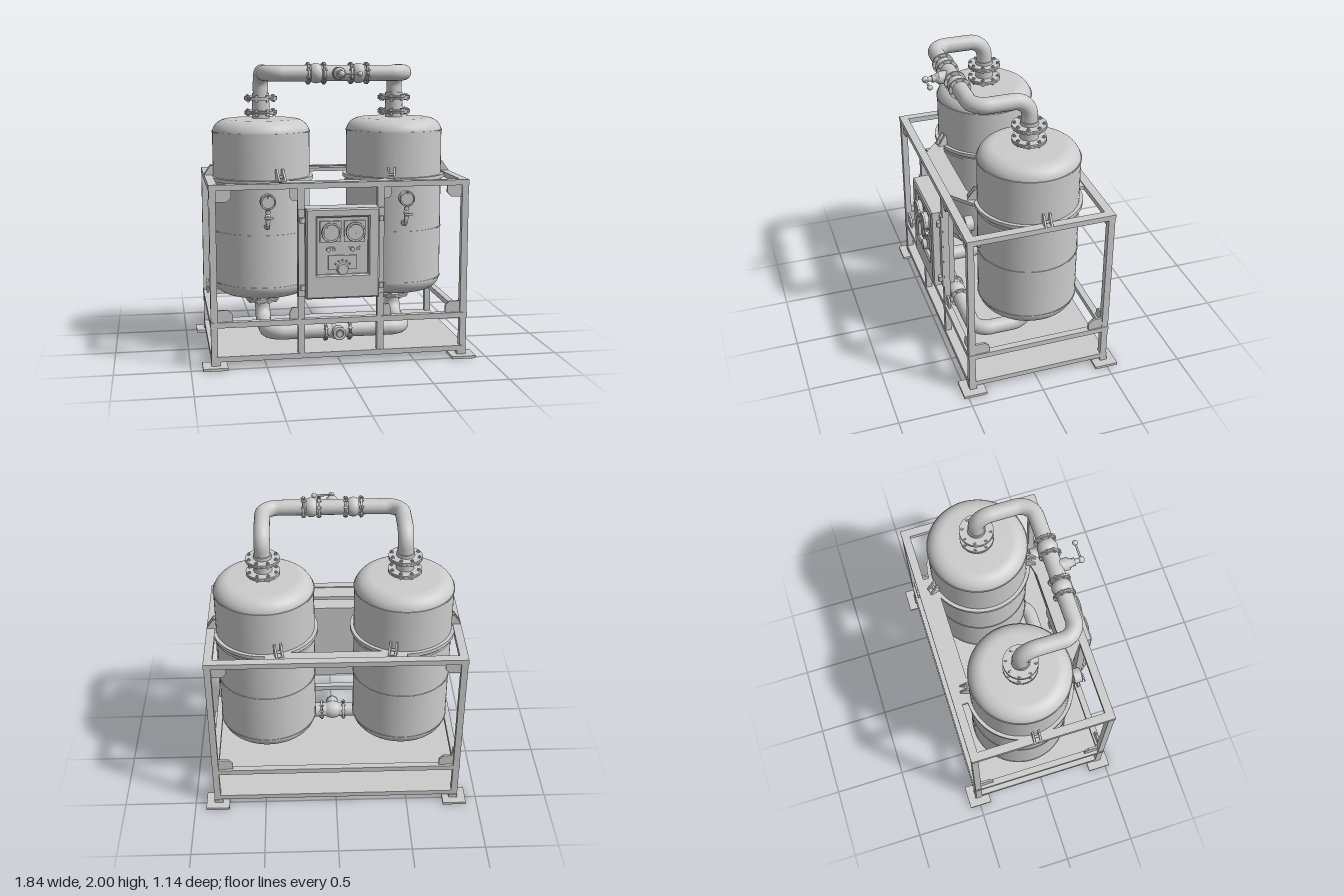
import * as THREE from 'three';

const mat = new THREE.MeshStandardMaterial({ color: 0xcccccc, side: THREE.DoubleSide });
const V = (x, y, z) => new THREE.Vector3(x, y, z);
const SIDES = [-1, 1];
const TANK_X = 0.47, TANK_Z = -0.06, TANK_R = 0.336;

export function createModel() {
  const root = new THREE.Group();
  root.name = 'twinTankSkid';

  const add = (name, geo, parent = root) => {
    const m = new THREE.Mesh(geo, mat);
    m.name = name;
    parent.add(m);
    return m;
  };
  const group = (name, x = 0, y = 0, z = 0, parent = root) => {
    const g = new THREE.Group();
    g.name = name;
    g.position.set(x, y, z);
    parent.add(g);
    return g;
  };
  // box given by its two extreme corners
  const box = (name, x0, x1, y0, y1, z0, z1, parent) => {
    const m = add(name, new THREE.BoxGeometry(x1 - x0, y1 - y0, z1 - z0), parent);
    m.position.set((x0 + x1) / 2, (y0 + y1) / 2, (z0 + z1) / 2);
    return m;
  };
  // cylinder centred on a point, along the x, y or z axis
  const cyl = (name, axis, r, len, x, y, z, parent, r2 = r, seg = 32) => {
    const g = new THREE.CylinderGeometry(r2, r, len, seg);
    if (axis === 'x') g.rotateZ(-Math.PI / 2);
    if (axis === 'z') g.rotateX(Math.PI / 2);
    const m = add(name, g, parent);
    m.position.set(x, y, z);
    return m;
  };
  const ball = (name, r, x, y, z, parent) => {
    const m = add(name, new THREE.SphereGeometry(r, 20, 14), parent);
    m.position.set(x, y, z);
    return m;
  };
  const plate = (points, depth) => new THREE.ExtrudeGeometry(
    new THREE.Shape(points.map(([x, y]) => new THREE.Vector2(x, y))), { depth, bevelEnabled: false });
  // pipe through corner points with rounded bends
  const pipe = (name, pts, r, bend, parent) => {
    const path = new THREE.CurvePath();
    let from = pts[0];
    for (let i = 1; i < pts.length - 1; i++) {
      const p = pts[i];
      const a = p.clone().add(pts[i - 1].clone().sub(p).setLength(bend));
      const b = p.clone().add(pts[i + 1].clone().sub(p).setLength(bend));
      const k = 0.552;
      path.add(new THREE.LineCurve3(from, a));
      path.add(new THREE.CubicBezierCurve3(a, a.clone().lerp(p, k), b.clone().lerp(p, k), b));
      from = b;
    }
    path.add(new THREE.LineCurve3(from, pts[pts.length - 1]));
    return add(name, new THREE.TubeGeometry(path, 40 * pts.length, r, 24), parent);
  };
  // bolted flange built along y
  const flange = (name, r, thick, bolts, x, y, z, axis = 'y') => {
    const g = group(name, x, y, z);
    for (const s of SIDES) cyl('flangeDisc', 'y', r, thick, 0, s * thick * 0.6, 0, g);
    for (let i = 0; i < bolts; i++) {
      const a = (i + 0.5) / bolts * Math.PI * 2;
      const bx = Math.cos(a) * r * 0.84, bz = Math.sin(a) * r * 0.84;
      cyl('bolt', 'y', r * 0.06, thick * 4.6, bx, 0, bz, g, undefined, 8);
      for (const s of SIDES) cyl('nut', 'y', r * 0.11, thick * 0.7, bx, s * thick * 1.4, bz, g, undefined, 6);
    }
    if (axis === 'x') g.rotation.z = Math.PI / 2;
  };

  // base plate and feet
  box('basePlate', -0.865, 0.865, 0.045, 0.08, -0.515, 0.48);
  for (const s of SIDES) for (const z of [-0.495, 0.45]) {
    box('footPlate', s * 0.84 - 0.082, s * 0.84 + 0.082, 0, 0.018, z - 0.08, z + 0.08);
    box('footStem', s * 0.835 - 0.03, s * 0.835 + 0.03, 0.018, 0.045, z - 0.025, z + 0.025);
  }

  // frame posts and rails
  for (const s of SIDES) {
    for (const z of [-0.49, 0.455]) box('cornerPost', s * 0.843 - 0.022, s * 0.843 + 0.022, 0.08, 1.185, z - 0.022, z + 0.022);
    box('middlePost', s * 0.267 - 0.022, s * 0.267 + 0.022, 0.08, 1.185, 0.435, 0.477);
  }
  for (const [y0, y1, w] of [[0.275, 0.312, 0.045], [1.185, 1.222, 0.057]]) {
    box('backRail', -0.868, 0.868, y0, y1, -0.515, -0.515 + w);
    box('frontRail', -0.868, 0.868, y0, y1, 0.48 - w, 0.48);
    for (const s of SIDES) box('sideRail', s * 0.868 - (s > 0 ? w : 0), s * 0.868 + (s < 0 ? w : 0), y0, y1, -0.515 + w, 0.48 - w);
  }
  // flat plates that tie the top rails to the tanks
  box('backTiePlate', -0.47, 0.47, 1.19, 1.215, -0.465, -0.38);
  const tie = plate([[-0.29, 0.43], [0.29, 0.43], [0.44, 0.31], [0.4, 0.27], [0.27, 0.3], [-0.27, 0.3], [-0.4, 0.27], [-0.44, 0.31]], 0.025);
  tie.rotateX(Math.PI / 2);
  add('frontTiePlate', tie).position.y = 1.215;

  // corner gussets with a chamfered outer corner
  const gusset = plate([[0, 0], [0.1, 0], [0.1, 0.05], [0.07, 0.08], [0, 0.08]], 0.015);
  const addGusset = (x, y, z, sx, sy, turn = 0) => {
    const m = add('gusset', gusset);
    m.position.set(x, y, z);
    m.scale.set(sx, sy, 1);
    m.rotation.y = turn;
  };
  for (const s of SIDES) {
    for (const z of [-0.498, 0.45]) {
      addGusset(s * 0.82, 0.31, z, -s, 1);
      addGusset(s * 0.82, 1.187, z, -s, -1);
    }
    addGusset(s * 0.288, 0.31, 0.45, s * 0.55, 1);
    addGusset(s * 0.288, 1.187, 0.45, s * 0.55, -1);
    addGusset(s * 0.845, 0.31, 0.435, 1, 1, Math.PI / 2);
    addGusset(s * 0.845, 0.31, -0.47, -1, 1, Math.PI / 2);
  }

  // tank profile: crowned ends with elliptical shoulders
  const profile = [];
  const end = (yEdge, dir) => {
    const pts = [new THREE.Vector2(0, yEdge + dir * 0.1)];
    for (let i = 0; i <= 12; i++) {
      const a = Math.PI / 2 * (1 - i / 12);
      pts.push(new THREE.Vector2(0.23 + 0.106 * Math.cos(a), yEdge + dir * 0.095 * Math.sin(a)));
    }
    return pts;
  };
  profile.push(...end(0.485, -1), ...end(1.51, 1).reverse());
  const tankGeo = new THREE.LatheGeometry(profile, 64);
  const ear = plate([[0, 0], [0.07, 0], [0.07, 0.02], [0.025, 0.085], [0, 0.085]], 0.013);

  for (const s of SIDES) {
    const t = group(s < 0 ? 'rightTank' : 'leftTank', s * TANK_X, 0, TANK_Z);
    add('tankShell', tankGeo, t);
    for (const y of [0.48, 0.84, 1.52]) cyl('weldBand', 'y', TANK_R + 0.004, 0.008, 0, y, 0, t, undefined, 64);
    cyl('supportRing', 'y', 0.36, 0.025, 0, 1.202, 0, t, undefined, 64);
    cyl('lowerRing', 'y', TANK_R + 0.008, 0.018, 0, 1.163, 0, t, undefined, 64);

    // lifting lugs around the shell
    const out = s < 0 ? Math.PI : 0;
    for (const a of [out, out + Math.PI * 0.583, out - Math.PI * 0.583]) {
      const lug = group('liftingLug', 0, 1.205, 0, t);
      lug.rotation.y = a;
      for (const k of SIDES) add('lugEar', ear, lug).position.set(0.328, 0, k * 0.021 - 0.0065);
      box('lugBase', 0.328, 0.395, 0, 0.018, -0.025, 0.025, lug);
      cyl('lugPin', 'z', 0.009, 0.045, 0.36, 0.035, 0, lug, undefined, 12);
    }
    // necks
    cyl('topNeck', 'y', 0.06, 0.2, 0, 1.68, 0, t);
    cyl('bottomNeck', 'y', 0.066, 0.1, 0, 0.36, 0, t);

    // pressure gauge on a bent stem
    const p = group('tankGauge', s * TANK_X, 0, 0);
    pipe('gaugeStem', [V(0, 0.905, 0.25), V(0, 0.905, 0.348), V(0, 1.06, 0.348)], 0.011, 0.035, p);
    cyl('gaugeBody', 'z', 0.052, 0.05, 0, 1.085, 0.348, p);
    const rim = add('gaugeRim', new THREE.TorusGeometry(0.047, 0.006, 8, 32), p);
    rim.position.set(0, 1.085, 0.374);
    box('gaugeNeedle', -0.003, 0.003, 1.08, 1.12, 0.372, 0.378, p);
    ball('stemValve', 0.02, 0, 0.985, 0.348, p);
    for (const y of [0.955, 1.015]) cyl('stemNut', 'y', 0.018, 0.018, 0, y, 0.348, p, undefined, 6);
    cyl('valveSpindle', 'z', 0.007, 0.06, 0, 0.985, 0.38, p, undefined, 12);
    box('valveGrip', -0.028, 0.028, 0.977, 0.993, 0.404, 0.412, p);
    cyl('stemBoss', 'z', 0.02, 0.025, 0, 0.905, 0.282, p, undefined, 16);

    for (const y of [1.648, 1.745]) flange('topFlange', 0.113, 0.011, 8, s * TANK_X, y, TANK_Z);
    flange('bottomFlange', 0.113, 0.011, 8, s * TANK_X, 0.335, TANK_Z);
  }

  // crossover pipes
  const PZ = 0.31;
  for (const [name, y, yTank] of [['topPipe', 1.925, 1.74], ['bottomPipe', 0.185, 0.345]]) {
    pipe(name, [V(-TANK_X, yTank, TANK_Z), V(-TANK_X, y, TANK_Z), V(-TANK_X, y, PZ),
      V(TANK_X, y, PZ), V(TANK_X, yTank, TANK_Z + 0).setX(TANK_X)].flatMap((p, i) =>
      i === 4 ? [V(TANK_X, y, TANK_Z), p] : [p]), 0.053, 0.105);
  }
  for (const s of SIDES) {
    // valve bodies between flanges on the top pipe
    for (const x of [0.09, 0.195]) flange('pipeFlange', 0.073, 0.007, 8, s * x, 1.925, PZ, 'x');
    const v = ball('checkValveBody', 0.066, s * 0.142, 1.925, PZ);
    v.scale.x = 0.9;
    flange('pipeFlange', 0.073, 0.007, 8, s * 0.083, 0.185, PZ, 'x');
  }
  const lowBody = ball('lowerTeeBody', 0.066, 0, 0.185, PZ);
  lowBody.scale.x = 1.2;
  cyl('lowerOutlet', 'z', 0.042, 0.1, 0, 0.185, 0.37);
  add('lowerOutletRim', new THREE.TorusGeometry(0.036, 0.009, 10, 32)).position.set(0, 0.185, 0.42);
  cyl('lowerOutletPlug', 'z', 0.024, 0.03, 0, 0.185, 0.42, root, undefined, 6);

  // vent nozzle with a lever on the top pipe
  cyl('ventBranch', 'z', 0.042, 0.09, 0, 1.925, 0.355);
  cyl('ventReducer', 'z', 0.042, 0.03, 0, 1.925, 0.41, root, 0.022);
  cyl('ventNut', 'z', 0.027, 0.02, 0, 1.925, 0.432, root, undefined, 6);
  cyl('ventStem', 'z', 0.016, 0.06, 0, 1.925, 0.465);
  ball('ventCap', 0.022, 0, 1.925, 0.485);
  cyl('ventLever', 'x', 0.007, 0.12, 0.06, 1.925, 0.485, root, undefined, 12);
  ball('leverKnob', 0.018, 0.12, 1.925, 0.485);

  // control cabinet with a sloped, recessed front
  const c = group('controlCabinet');
  box('cabinetBody', -0.245, 0.245, 0.46, 1.06, 0.39, 0.515, c);
  const face = new THREE.Shape([[-0.235, 0.47], [0.235, 0.47], [0.235, 1.05], [-0.235, 1.05]].map(q => new THREE.Vector2(...q)));
  face.holes.push(new THREE.Path([[-0.18, 0.61], [-0.18, 1.01], [0.18, 1.01], [0.18, 0.61]].map(q => new THREE.Vector2(...q))));
  const faceGeo = new THREE.ExtrudeGeometry(face, { depth: 0.02, bevelThickness: 0.01, bevelSize: 0.01, bevelSegments: 1 });
  add('cabinetFace', faceGeo, c).position.z = 0.515;
  for (const s of SIDES) {
    box('cabinetFlange', s * 0.262 - 0.025, s * 0.262 + 0.025, 0.47, 1.05, 0.477, 0.488, c);
    for (const y of [0.53, 0.98]) cyl('hinge', 'y', 0.017, 0.035, s * 0.262, y, 0.495, c, undefined, 16);
    // dials and switches
    const x = s * 0.08;
    box('dialBezel', x - 0.07, x + 0.07, 0.835, 0.975, 0.51, 0.53, c);
    cyl('dialBody', 'z', 0.06, 0.045, x, 0.905, 0.54, c);
    add('dialRim', new THREE.TorusGeometry(0.058, 0.007, 8, 36), c).position.set(x, 0.905, 0.563);
    box('dialNeedle', -0.003, 0.003, -0.008, 0.042, -0.003, 0.003, group('needlePivot', x, 0.905, 0.565, c)).parent.rotation.z = 0.7;
    box('switchPlate', x - 0.04, x + 0.04, 0.772, 0.8, 0.51, 0.522, c);
    cyl('switchButton', 'z', 0.014, 0.03, x - 0.015, 0.786, 0.53, c, undefined, 20);
    box('switchToggle', x + 0.012, x + 0.03, 0.778, 0.794, 0.52, 0.535, c);
  }
  box('selectorPlate', -0.095, 0.095, 0.65, 0.745, 0.51, 0.525, c);
  cyl('selectorKnob', 'z', 0.04, 0.035, 0, 0.655, 0.535, c, 0.034);
  for (let i = 0; i < 5; i++) {
    const a = Math.PI * (0.2 + 0.15 * i);
    ball('selectorMark', 0.006, Math.cos(a) * 0.058, 0.655 + Math.sin(a) * 0.058, 0.525, c);
  }
  return root;
}
